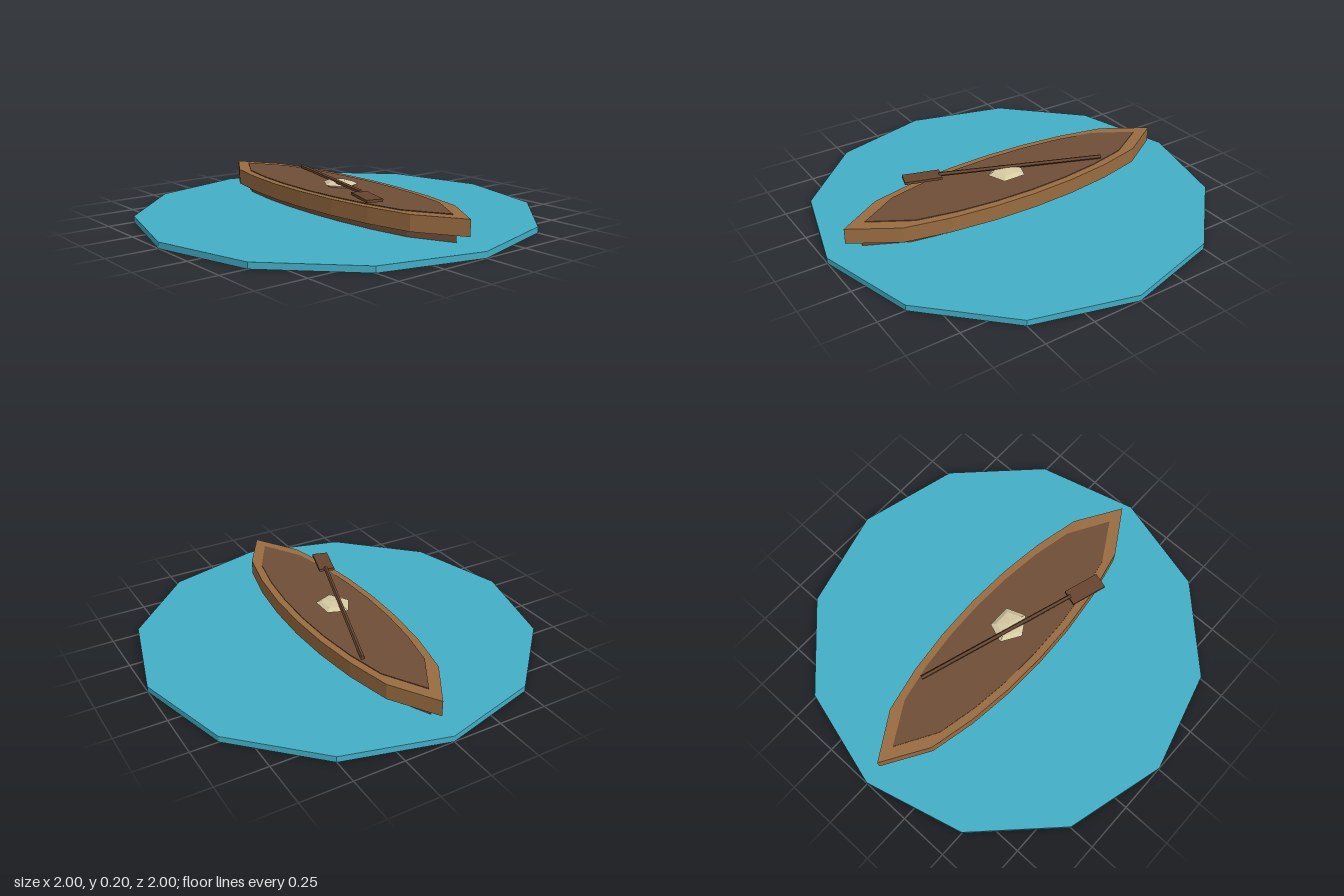
import * as THREE from 'three';

const paint = (name, color) => {
  const m = new THREE.MeshStandardMaterial({ color });
  m.name = name;
  m.flatShading = true;
  return m;
};

// Pointed boat outline, extruded upward from y0 to y1
function boatSlab(halfWidth, halfLength, y0, y1) {
  const right = [], left = [];
  for (let i = -4; i <= 4; i++) {
    const t = i / 4;
    const x = halfWidth * Math.sqrt(Math.max(0, Math.cos(t * Math.PI / 2)));
    right.push(new THREE.Vector2(x, t * halfLength));
    if (Math.abs(i) < 4) left.unshift(new THREE.Vector2(-x, t * halfLength));
  }
  right[0].x = right[8].x = 0;
  const geo = new THREE.ExtrudeGeometry(new THREE.Shape([...right, ...left]), { depth: y1 - y0, bevelEnabled: false });
  geo.rotateX(-Math.PI / 2);
  geo.translate(0, y0, 0);
  return geo;
}

export function createModel() {
  const water = paint('water blue', 0x43aec6);
  const wood = paint('light wood', 0x996c41);
  const darkWood = paint('dark wood', 0x6f4e37);
  const oarWood = paint('oar wood', 0x68452e);
  const cream = paint('cream', 0xd6caa4);

  const model = new THREE.Group();
  model.name = 'rowingBoatOnWater';
  const add = (name, geo, mat, parent = model) => {
    const mesh = new THREE.Mesh(geo, mat);
    mesh.name = name;
    parent.add(mesh);
    return mesh;
  };

  // Twelve-sided pond
  add('pond', new THREE.CylinderGeometry(1, 1, 0.03, 12).translate(0, 0.015, 0), water);

  // Hull: narrow keel, wide gunwale, dark inner floor
  add('lowerHull', boatSlab(0.16, 0.825, 0.03, 0.072), darkWood);
  add('upperHull', boatSlab(0.225, 0.905, 0.072, 0.15), wood);
  add('floor', boatSlab(0.19, 0.8, 0.15, 0.154), darkWood);

  // Flattened five-sided bundle in the middle
  const bundle = add('bundle', new THREE.SphereGeometry(1, 5, 4), cream);
  bundle.scale.set(0.086, 0.018, 0.1);
  bundle.position.set(0, 0.165, 0.022);

  // Oar: sloping shaft and flat blade
  const oar = new THREE.Group();
  oar.name = 'oar';
  model.add(oar);
  const a = new THREE.Vector3(0.132, 0.165, -0.465);
  const b = new THREE.Vector3(-0.13, 0.191, 0.335);
  const shaft = add('shaft', new THREE.CylinderGeometry(0.011, 0.011, a.distanceTo(b), 5), oarWood, oar);
  shaft.position.copy(a).lerp(b, 0.5);
  shaft.quaternion.setFromUnitVectors(new THREE.Vector3(0, 1, 0), b.clone().sub(a).normalize());
  const blade = add('blade', new THREE.BoxGeometry(0.08, 0.013, 0.185), oarWood, oar);
  blade.position.set(-0.159, 0.185, 0.412);
  blade.rotation.y = -0.3;

  return model;
}
